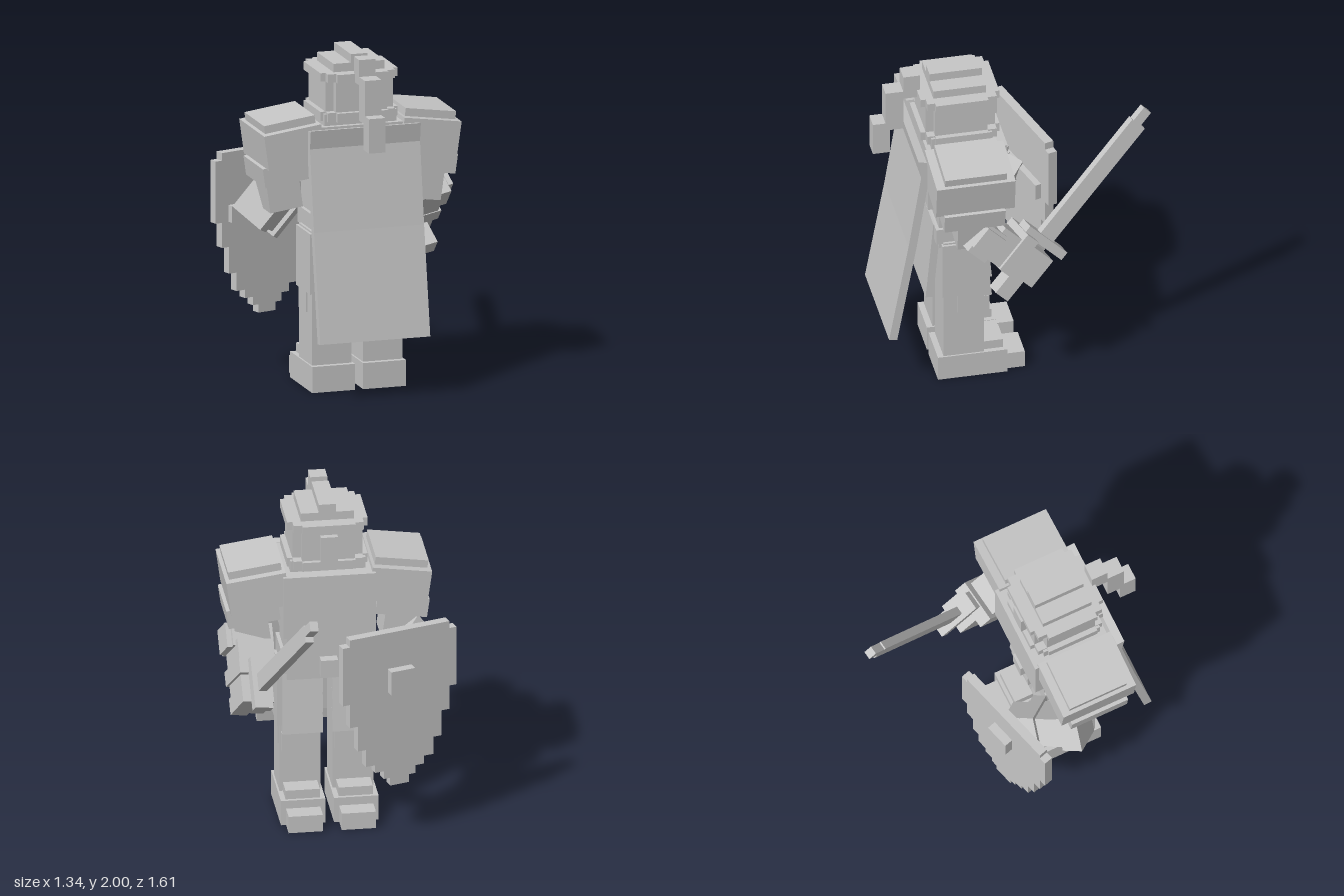
import * as THREE from 'three';

const MID = 0.055; // centre line of the body

export function createModel() {
  const model = new THREE.Group();
  model.name = 'knight';
  const stone = new THREE.MeshStandardMaterial({ color: 0xc6c6c6 });
  stone.name = 'stoneGrey';

  const add = (parent, geo, name) => {
    const m = new THREE.Mesh(geo, stone);
    m.name = name;
    parent.add(m);
    return m;
  };
  // box from its limits
  const span = (parent, name, x0, x1, y0, y1, z0, z1) => {
    const m = add(parent, new THREE.BoxGeometry(x1 - x0, y1 - y0, z1 - z0), name);
    m.position.set((x0 + x1) / 2, (y0 + y1) / 2, (z0 + z1) / 2);
    return m;
  };
  // box from its centre and size
  const box = (parent, name, c, s, rz = 0) => {
    const m = add(parent, new THREE.BoxGeometry(...s), name);
    m.position.set(...c);
    m.rotation.z = rz;
    return m;
  };
  // group whose local y and z follow the given directions
  const frame = (name, origin, up, back) => {
    const g = new THREE.Group();
    g.name = name;
    const y = new THREE.Vector3(...up).normalize();
    const x = new THREE.Vector3().crossVectors(y, new THREE.Vector3(...back)).normalize();
    const z = new THREE.Vector3().crossVectors(x, y);
    g.setRotationFromMatrix(new THREE.Matrix4().makeBasis(x, y, z));
    g.position.set(...origin);
    model.add(g);
    return g;
  };

  const body = new THREE.Group();
  body.name = 'body';
  body.position.x = MID;
  model.add(body);

  // torso, waist and belt
  span(body, 'chest', -0.27, 0.27, 1.2, 1.59, 0.05, 0.52);
  span(body, 'abdomen', -0.24, 0.24, 0.9, 1.2, 0.12, 0.45);
  span(body, 'belt', -0.26, 0.26, 0.94, 1.04, 0.12, 0.47);
  span(body, 'buckle', -0.05, 0.05, 0.93, 1.04, 0.06, 0.12);
  span(body, 'collar', -0.22, 0.22, 1.58, 1.66, 0.13, 0.49);
  const loin = box(body, 'backCloth', [0, 0.785, 0.475], [0.4, 0.51, 0.045]);
  loin.rotation.x = -0.09;

  for (const s of [-1, 1]) {
    const side = (name, x0, x1, ...r) =>
      span(body, name, Math.min(s * x0, s * x1), Math.max(s * x0, s * x1), ...r);
    // legs and boots
    side('leg', 0.035, 0.275, 0.15, 0.95, 0.19, 0.43);
    side('boot', 0.025, 0.285, 0, 0.155, 0.055, 0.465);
    side('toe', 0.055, 0.255, 0, 0.105, -0.055, 0.055);
    side('instep', 0.055, 0.255, 0.155, 0.21, 0.075, 0.19);
    side('kneePlate', 0.045, 0.265, 0.42, 0.54, 0.155, 0.25);
    // layered skirt plates
    for (let i = 0; i < 3; i++) {
      const p = box(body, 'skirtPlate', [s * 0.145, 0.865 - i * 0.13, 0.17], [0.235, 0.135, 0.045]);
      p.rotation.x = 0.1;
    }
    side('hipPlate', 0.26, 0.29, 0.58, 0.94, 0.18, 0.44);
    side('hipPlateTip', 0.26, 0.285, 0.455, 0.58, 0.21, 0.35);
    // shoulder armour
    const tilt = -s * 0.139;
    box(body, 'shoulderPad', [s * 0.413, 1.487, 0.305], [0.35, 0.21, 0.465], tilt);
    box(body, 'shoulderCap', [s * 0.428, 1.613, 0.303], [0.31, 0.05, 0.365], tilt);
    box(body, 'sleevePlate', [s * 0.435, 1.325, 0.31], [0.305, 0.115, 0.36], tilt);
    box(body, 'upperArm', [s * 0.435, 1.2, 0.29], [0.2, 0.23, 0.22], tilt);
  }

  // head inside a helmet of panels and notched rims
  span(body, 'head', -0.155, 0.155, 1.6, 1.87, 0.15, 0.465);
  span(body, 'facePanel', -0.155, 0.155, 1.66, 1.86, 0.1, 0.16);
  span(body, 'helmetBack', -0.155, 0.155, 1.62, 1.86, 0.46, 0.51);
  span(body, 'helmetSides', -0.205, 0.205, 1.66, 1.86, 0.155, 0.465);
  for (const [name, y0, y1] of [['brow', 1.85, 1.9], ['neckRim', 1.615, 1.67]]) {
    span(body, name, -0.155, 0.155, y0, y1, 0.075, 0.54);
    span(body, name, -0.205, 0.205, y0, y1, 0.1, 0.51);
    span(body, name, -0.235, 0.235, y0, y1, 0.155, 0.465);
  }
  span(body, 'helmetTop', -0.155, 0.155, 1.9, 1.95, 0.155, 0.465);
  span(body, 'noseGuard', -0.05, 0.05, 1.67, 1.83, 0.065, 0.14);

  // crest running over the helmet and down the back
  [[1.95, 2, 0.155, 0.465], [1.85, 2, 0.52, 0.62], [1.64, 1.9, 0.62, 0.725],
    [1.485, 1.69, 0.7, 0.8]].forEach(r => span(body, 'crest', -0.05, 0.05, ...r));

  // cape extruded from its side profile, drawn as (-z, y)
  const line = [[0.59, 1.59], [0.575, 1.48], [0.65, 1.0], [0.765, 0.36]];
  const pts = [...line.map(([z, y]) => [-z, y]),
    ...line.slice().reverse().map(([z, y]) => [-z + 0.048, y - 0.008])];
  const capeGeo = new THREE.ExtrudeGeometry(
    new THREE.Shape(pts.map(p => new THREE.Vector2(...p))), { depth: 0.67, bevelEnabled: false });
  capeGeo.rotateY(Math.PI / 2).translate(-0.335, 0, 0);
  add(body, capeGeo, 'cape');

  // sword arm: local -z runs down the forearm, local y up the blade
  const arm = frame('swordArm', [0.52, 0.9, -0.015], [-0.22, 0.66, -0.66], [0, 0.7, 0.7]);
  box(arm, 'hand', [0, 0, 0], [0.19, 0.2, 0.18]);
  box(arm, 'wristCuff', [-0.02, 0.01, 0.12], [0.26, 0.26, 0.09]);
  box(arm, 'forearm', [-0.02, -0.01, 0.22], [0.22, 0.21, 0.16]);
  box(arm, 'elbowCuff', [-0.02, -0.04, 0.34], [0.25, 0.2, 0.14]);
  box(arm, 'elbowPlate', [0.12, -0.03, 0.34], [0.03, 0.14, 0.15]);
  box(arm, 'pommel', [0, -0.17, 0], [0.1, 0.16, 0.1]);
  box(arm, 'guard', [0, 0.155, 0], [0.11, 0.055, 0.31]);
  box(arm, 'blade', [0, 0.6, 0], [0.05, 0.86, 0.105]);
  box(arm, 'bladeTip', [0, 1.075, 0.012], [0.05, 0.1, 0.06]);

  // shield arm reaching forward and inward
  const arm2 = frame('shieldArm', [-0.36, 1.02, 0.06], [0.6, 0.75, 0.1], [-0.5, 0.35, 0.75]);
  box(arm2, 'forearm', [0, 0, 0.02], [0.19, 0.19, 0.3]);
  box(arm2, 'elbowCuff', [0, 0, 0.17], [0.22, 0.22, 0.12]);
  box(arm2, 'wristCuff', [0, 0, -0.07], [0.24, 0.23, 0.08]);
  box(arm2, 'hand', [0, 0, -0.16], [0.17, 0.18, 0.13]);

  // shield with stepped sides: [half width, bottom of step]
  const shield = new THREE.Group();
  shield.name = 'shield';
  shield.position.set(-0.31, 0, -0.178);
  shield.rotation.y = 0.282;
  model.add(shield);
  const steps = [[0.315, 1.29], [0.36, 0.92], [0.315, 0.77], [0.265, 0.61],
    [0.215, 0.5], [0.155, 0.45], [0.1, 0.4], [0.06, 0.35]];
  const edge = [];
  let top = 1.335;
  for (const [w, y] of steps) {
    edge.push([w, top], [w, y]);
    top = y;
  }
  const outline = [...edge, ...edge.slice().reverse().map(([x, y]) => [-x, y])]
    .map(p => new THREE.Vector2(...p));
  const plate = new THREE.ExtrudeGeometry(new THREE.Shape(outline), { depth: 0.055, bevelEnabled: false });
  plate.translate(0, 0, -0.0275);
  add(shield, plate, 'shieldPlate');
  box(shield, 'shieldBoss', [0, 1.03, -0.05], [0.15, 0.15, 0.06]);
  box(shield, 'shieldStrap', [0, 0.97, 0.045], [0.54, 0.1, 0.04]);

  return model;
}
